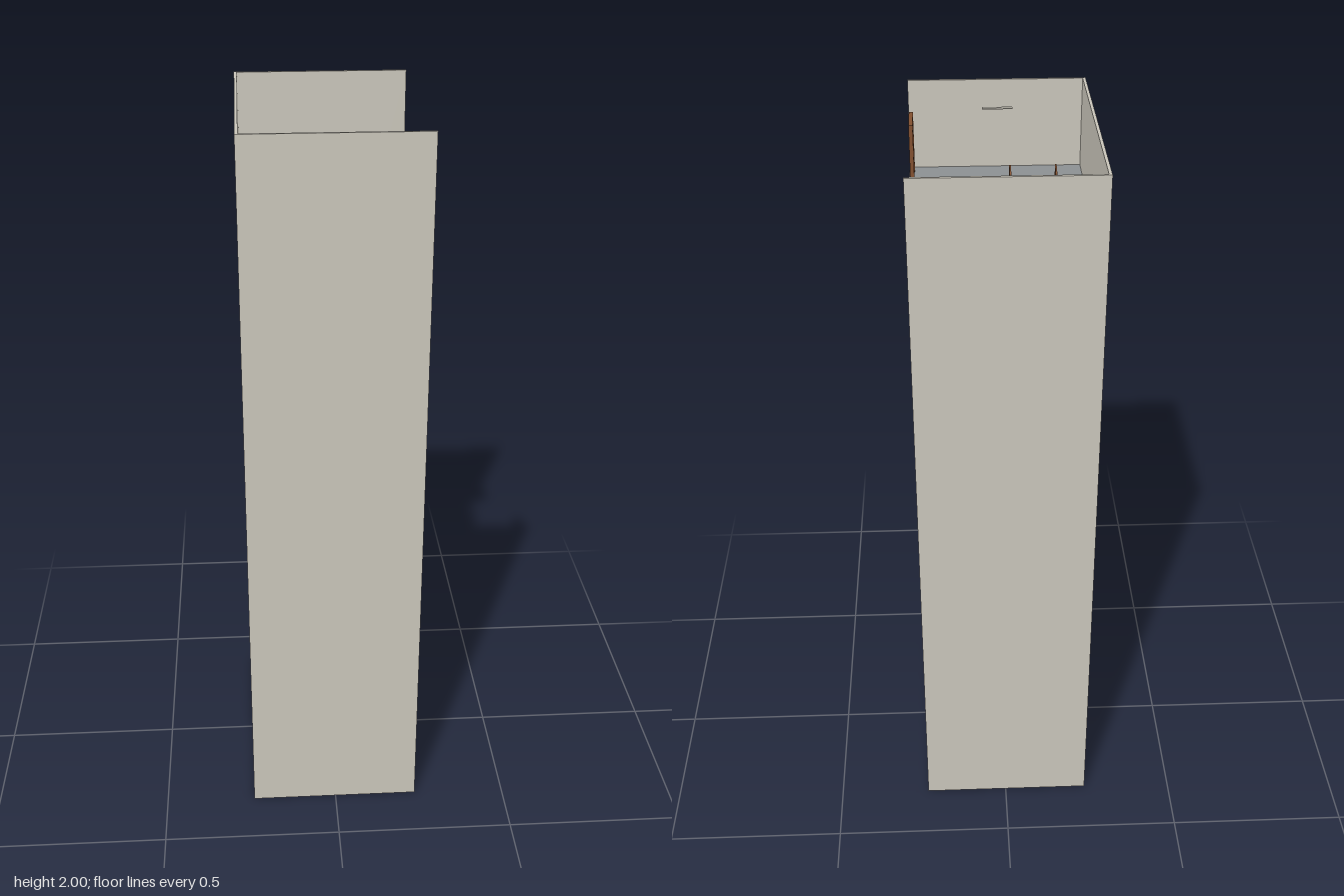
import * as THREE from 'three';

const mat = (name, color) => {
  const m = new THREE.MeshStandardMaterial({ color });
  m.name = name;
  return m;
};

export function createModel() {
  const wall = mat('wallPlaster', 0xc9c5ba);
  const stone = mat('landingGrey', 0x8c9092);
  const dark = mat('darkSlab', 0x38363c);
  const wood = mat('brownWood', 0x82502f);

  const model = new THREE.Group();
  model.name = 'stairwell';

  // Box given by its limits on each axis
  const box = (parent, name, m, [x0, x1], [y0, y1], [z0, z1]) => {
    const mesh = new THREE.Mesh(new THREE.BoxGeometry(x1 - x0, y1 - y0, z1 - z0), m);
    mesh.position.set((x0 + x1) / 2, (y0 + y1) / 2, (z0 + z1) / 2);
    mesh.name = name;
    parent.add(mesh);
    return mesh;
  };

  // Square bar between two points
  const bar = (parent, name, a, b, t = 0.0045) => {
    const p = new THREE.Vector3(...a), q = new THREE.Vector3(...b);
    const mesh = new THREE.Mesh(new THREE.BoxGeometry(t, t, p.distanceTo(q)), wood);
    mesh.position.copy(p).add(q).multiplyScalar(0.5);
    mesh.lookAt(q);
    mesh.name = name;
    parent.add(mesh);
  };

  // Shell: three walls and the ground slab, open on the +x side
  box(model, 'frontWall', wall, [-0.2425, 0.2375], [0, 2], [0.335, 0.342]);
  box(model, 'backWall', wall, [-0.2425, 0.2375], [0, 2], [-0.342, -0.335]);
  box(model, 'sideWall', wall, [-0.2425, -0.2345], [0, 2], [-0.335, 0.335]);
  box(model, 'groundSlab', dark, [-0.2345, 0.235], [0, 0.013], [-0.335, 0.335]);

  const STEPS = 13, HALF = 0.177, RUN = (2 * HALF) / STEPS, WIDTH = 0.122;
  const RAIL = 0.072, TREAD = 0.003;

  // One flight climbing from y0 to y1; dir is the z direction of the climb
  const flight = (cx, y0, y1, dir, posts) => {
    const g = new THREE.Group();
    g.name = dir > 0 ? 'upperFlight' : 'lowerFlight';
    const rise = (y1 - y0) / STEPS, length = RUN * STEPS;

    // Sawtooth body
    const s = new THREE.Shape();
    s.moveTo(0, -0.008);
    s.lineTo(length, y1 - y0 - 0.008);
    for (let i = STEPS - 1; i >= 0; i--) {
      s.lineTo((i + 1) * RUN, (i + 1) * rise - TREAD);
      s.lineTo(i * RUN, (i + 1) * rise - TREAD);
    }
    s.closePath();
    const geo = new THREE.ExtrudeGeometry(s, { depth: WIDTH - 0.002, bevelEnabled: false });
    geo.translate(0, 0, -(WIDTH - 0.002) / 2);
    geo.rotateY((-dir * Math.PI) / 2);
    const body = new THREE.Mesh(geo, dark);
    body.name = 'flightBody';
    body.position.set(cx, y0, -dir * HALF);
    g.add(body);

    // Tread plates
    for (let i = 0; i < STEPS; i++) {
      const y = y0 + (i + 1) * rise;
      const za = dir * (-HALF + i * RUN + 0.003), zb = dir * (-HALF + (i + 1) * RUN);
      box(g, 'tread', stone, [cx - WIDTH / 2, cx + WIDTH / 2], [y - TREAD, y],
        [Math.min(za, zb), Math.max(za, zb)]);
    }

    // Handrails with posts on both edges
    const at = (t) => [y0 + (y1 - y0) * t, dir * HALF * (2 * t - 1)];
    const T0 = 0.03, T1 = 0.97;
    for (const side of [-1, 1]) {
      const x = cx + (side * WIDTH) / 2;
      const [ya, za] = at(T0), [yb, zb] = at(T1);
      bar(g, 'handrail', [x, ya + RAIL, za], [x, yb + RAIL, zb]);
      for (const p of posts) {
        const [y, z] = at(T0 + (T1 - T0) * p);
        bar(g, 'railPost', [x, y, z], [x, y + RAIL, z], 0.004);
      }
    }
    model.add(g);
  };

  // Door on the open side, standing on floor height y
  const door = (y) => {
    const g = new THREE.Group();
    g.name = 'door';
    const X = [0.225, 0.236], top = y + 0.168;
    box(g, 'doorJamb', wood, X, [y, top], [0.205, 0.216]);
    box(g, 'doorJamb', wood, X, [y, top], [0.298, 0.309]);
    box(g, 'doorLintel', wood, X, [top - 0.011, top], [0.216, 0.298]);
    box(g, 'doorPanel', dark, [0.228, 0.234], [y, top - 0.011], [0.216, 0.298]);
    box(g, 'doorSill', dark, [0.234, 0.2405], [y, y + 0.006], [0.215, 0.3]);
    model.add(g);
  };

  // Storeys: floor heights, with a half landing between each pair
  const floors = [0.013];
  for (let k = 0; k < 6; k++) floors.push(0.412 + 0.2685 * k);

  floors.forEach((y, k) => {
    door(y);
    box(model, 'ceilingLamp', wall, [-0.041, 0.04], [y + 0.192, y + 0.195], [0.252, 0.263]);
    if (k > 0) box(model, 'floorLanding', stone, [-0.2345, 0.228], [y - 0.01, y], [HALF - 0.001, 0.335]);
    if (k === floors.length - 1) return;

    const next = floors[k + 1], mid = (y + next) / 2;
    box(model, 'halfLanding', stone, [-0.2345, 0.228], [mid - 0.01, mid], [-0.335, -HALF + 0.001]);
    flight(0.09, y, mid, -1, [0, 0.25, 0.75, 1]);
    flight(-0.092, mid, next, 1, [0, 0.5, 1]);

    // Return rail joining the two flights on the half landing
    const h = mid + RAIL + 0.004, z = -0.182;
    bar(model, 'returnRail', [-0.033, h, z], [0.031, h, z]);
    for (const x of [-0.031, 0.029]) {
      bar(model, 'returnPost', [x, mid, z], [x, h, z], 0.004);
      bar(model, 'returnLink', [x, h, z], [x, h - 0.003, -0.166]);
    }
  });

  return model;
}
